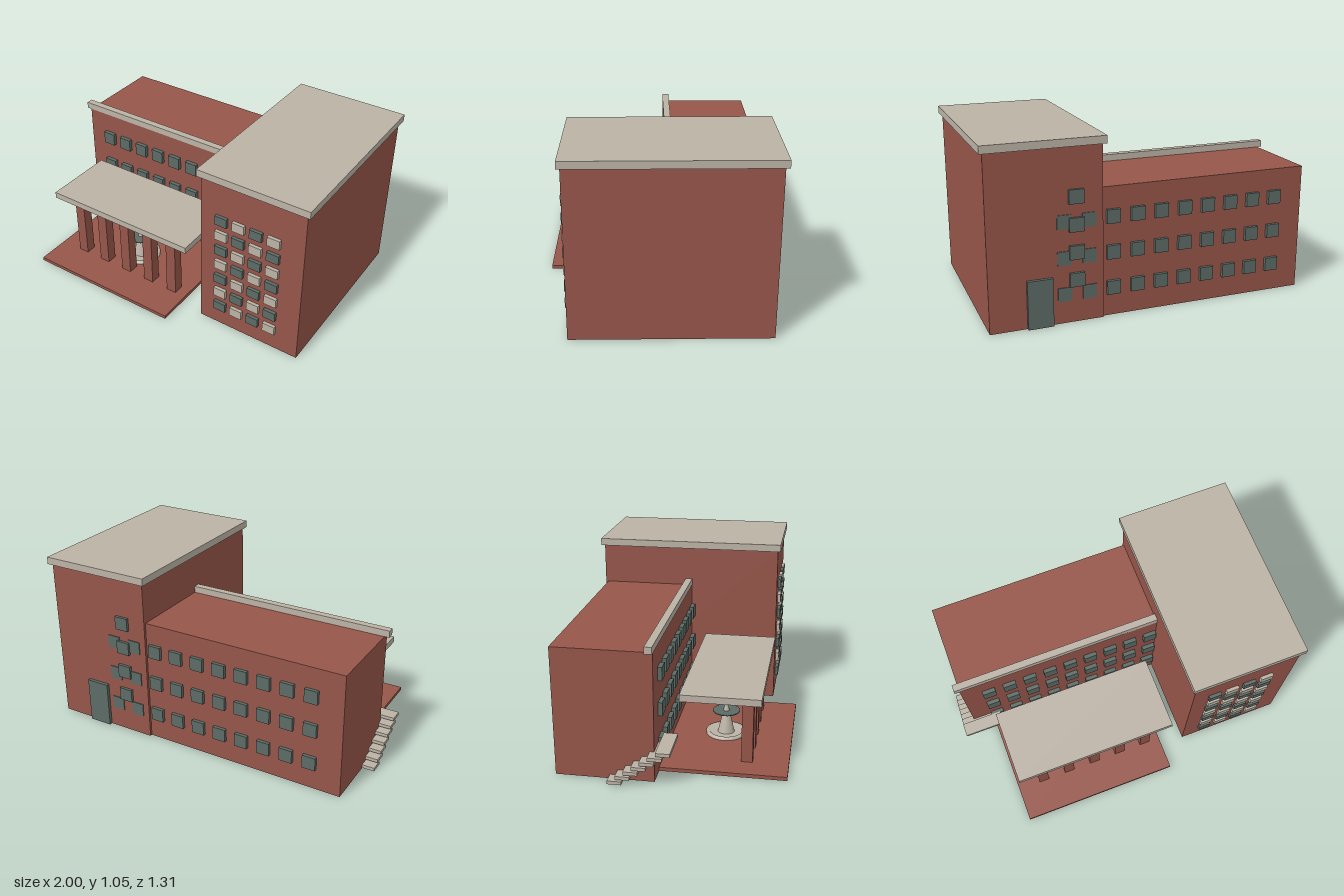
import * as THREE from 'three';

const brick = new THREE.MeshStandardMaterial({ color: 0x96564a });
const stone = new THREE.MeshStandardMaterial({ color: 0xbcb3a6 });
const glass = new THREE.MeshStandardMaterial({ color: 0x5c6b66 });

// Box given by its min and max on each axis
function box(parent, name, mat, [x0, x1], [y0, y1], [z0, z1]) {
  const mesh = new THREE.Mesh(new THREE.BoxGeometry(x1 - x0, y1 - y0, z1 - z0), mat);
  mesh.position.set((x0 + x1) / 2, (y0 + y1) / 2, (z0 + z1) / 2);
  mesh.name = name;
  parent.add(mesh);
  return mesh;
}

function group(parent, name) {
  const g = new THREE.Group();
  g.name = name;
  parent.add(g);
  return g;
}

// Grid of window panels; pick(col, row) chooses the material
function windows(parent, name, { x, dx, cols, ys, w, h, z }, pick = () => glass) {
  const g = group(parent, name);
  ys.forEach((y, row) => {
    for (let col = 0; col < cols; col++) {
      const cx = x + col * dx;
      box(g, 'window', pick(col, row), [cx - w / 2, cx + w / 2], [y - h / 2, y + h / 2], z);
    }
  });
}

function lathe(parent, name, mat, points) {
  const pts = points.map(([r, y]) => new THREE.Vector2(r, y));
  const mesh = new THREE.Mesh(new THREE.LatheGeometry(pts, 32), mat);
  mesh.name = name;
  parent.add(mesh);
}

export function createModel() {
  const model = new THREE.Group();
  model.name = 'building';

  // Main masses
  box(model, 'tower', brick, [0.33, 0.98], [0, 1.002], [-0.635, 0.495]);
  box(model, 'towerRoof', stone, [0.31, 1], [1.002, 1.046], [-0.655, 0.512]);
  box(model, 'wing', brick, [-0.925, 0.33], [0, 0.755], [-0.62, -0.06]);
  box(model, 'wingParapet', stone, [-0.953, 0.34], [0.755, 0.795], [-0.1, -0.057]);

  // Windows
  const floors = [0.17, 0.38, 0.587];
  windows(model, 'wingFrontWindows',
    { x: -0.765, dx: 0.131, cols: 9, ys: floors, w: 0.08, h: 0.08, z: [-0.07, -0.035] });
  windows(model, 'wingBackWindows',
    { x: -0.738, dx: 0.1436, cols: 10, ys: floors, w: 0.08, h: 0.08, z: [-0.64, -0.6] });
  const towerRows = Array.from({ length: 7 }, (_, i) => 0.143 + i * 0.103);
  windows(model, 'towerFrontWindows',
    { x: 0.47, dx: 0.11, cols: 4, ys: towerRows, w: 0.077, h: 0.057, z: [0.48, 0.515] },
    (col, row) => ((col + row) % 2 ? stone : glass));
  windows(model, 'towerBackWindows',
    { x: 0.485, dx: 0, cols: 1, ys: [0.252, 0.41, 0.568, 0.726], w: 0.085, h: 0.08, z: [-0.652, -0.62] });
  box(model, 'backDoor', glass, [0.625, 0.77], [0, 0.28], [-0.655, -0.62]);

  // Entrance porch
  const porch = group(model, 'porch');
  box(porch, 'porchFloor', brick, [-0.8, 0.178], [0, 0.022], [-0.06, 0.655]);
  box(porch, 'porchCanopy', stone, [-0.775, 0.225], [0.42, 0.46], [0.05, 0.502]);
  for (let i = 0; i < 5; i++) {
    const x = -0.627 + i * 0.176;
    box(porch, 'porchColumn', brick, [x - 0.033, x + 0.033], [0.022, 0.42], [0.385, 0.45]);
  }

  // Fountain under the canopy
  const fountain = group(porch, 'fountain');
  fountain.position.set(-0.298, 0.022, 0.255);
  lathe(fountain, 'basin', stone, [[0.12, 0], [0.12, 0.015], [0.1, 0.015], [0.095, 0.008], [0, 0.008]]);
  lathe(fountain, 'pedestal', stone, [[0.05, 0.008], [0.012, 0.175], [0, 0.18]]);
  lathe(fountain, 'upperBowl', glass, [[0, 0.138], [0.08, 0.141], [0.083, 0.145], [0.08, 0.149], [0, 0.146]]);

  // Open side stairs, rising toward the front
  const stairs = group(model, 'sideStairs');
  for (let i = 0; i < 7; i++) {
    const y = 0.005 + i * 0.0315, z = -0.31 + i * 0.045;
    box(stairs, 'stairTread', stone, [-1, -0.75], [y, y + 0.02], [z, z + 0.08]);
  }

  return model;
}
